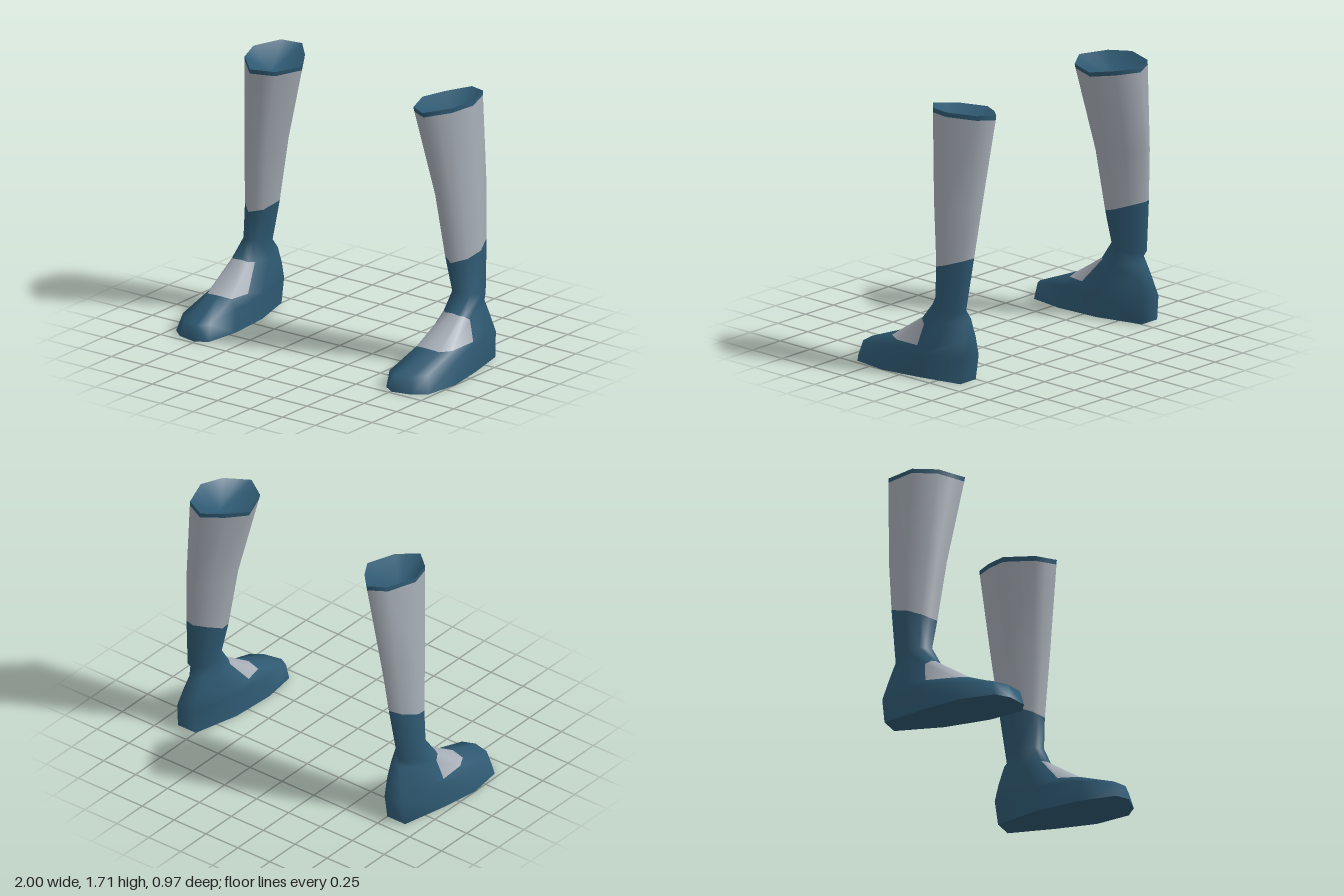
import * as THREE from 'three';

const N = 10; // points around every ring, starting at the toe and going round the outer side

const blue = new THREE.MeshStandardMaterial({ color: 0x2f5a73 });
blue.name = 'deep blue';
const grey = new THREE.MeshStandardMaterial({ color: 0xa8afb8 });
grey.name = 'light grey';

// Foot rings for the left boot, as [x, y, z]
const sole = [[.76, 0, .48], [.89, 0, .45], [.97, 0, .38], [1, 0, .15], [.955, 0, -.12],
  [.89, 0, -.405], [.75, 0, -.405], [.67, 0, -.1], [.65, 0, .2], [.68, 0, .43]];
const shoulder = [[.76, .095, .455], [.87, .1, .425], [.94, .11, .35], [.97, .13, .1], [.955, .15, -.15],
  [.88, .16, -.425], [.745, .16, -.425], [.67, .16, -.1], [.662, .14, .18], [.69, .105, .41]];
const upper = [[.8, .205, .18], [.89, .195, .165], [.93, .19, .09], [.95, .2, -.1], [.93, .21, -.25],
  [.85, .28, -.4], [.74, .27, -.395], [.675, .2, -.13], [.68, .2, .03], [.71, .195, .16]];
const instep = [[.81, .365, -.07], [.86, .36, -.07], [.89, .355, -.085], [.91, .33, -.12], [.9, .36, -.27],
  [.82, .38, -.38], [.745, .38, -.36], [.7, .36, -.22], [.725, .36, -.1], [.755, .36, -.07]];

// Leg outline in unit form: u runs inner to outer, v runs front to back
const outline = [[.53, 0], [.7, .115], [.87, .23], [1, .53], [.82, .9],
  [.5, 1], [.22, .78], [0, .52], [.18, .16], [.355, .08]];

function legRing(x0, x1, zFront, zBack, yFront, yBack, tilt = 0) {
  return outline.map(([u, v]) => [
    x0 + (x1 - x0) * u,
    yFront + (yBack - yFront) * v + tilt * (u - .5),
    zFront + (zBack - zFront) * v,
  ]);
}

const rim = legRing(.46, .842, .035, -.485, 1.667, 1.693, .05);
const rings = [
  sole, shoulder, upper, instep,
  legRing(.71, .895, -.12, -.37, .48, .43),
  legRing(.655, .885, -.1, -.41, .675, .785),
  legRing(.6, .872, -.05, -.445, 1.08, 1.12),
  legRing(.467, .843, .031, -.484, 1.638, 1.664, .05),
  rim,
];

function flip(index, side) {
  if (side > 0) return index;
  const out = [];
  for (let i = 0; i < index.length; i += 3) out.push(index[i], index[i + 2], index[i + 1]);
  return out;
}

function surface(points, index, side) {
  const geometry = new THREE.BufferGeometry();
  const flat = points.flatMap(([x, y, z]) => [x * side, y, z]);
  geometry.setAttribute('position', new THREE.Float32BufferAttribute(flat, 3));
  geometry.setIndex(flip(index, side));
  geometry.computeVertexNormals();
  return geometry;
}

// Quads of one row between two rings, for the chosen columns
function cells(row, columns) {
  return columns.flatMap((c) => {
    const a = row * N + c, b = row * N + (c + 1) % N;
    return [a, b, b + N, a, b + N, a + N];
  });
}

// Fan from a ring to a centre point
function fan(ring, centre, up, side) {
  const index = [];
  for (let i = 0; i < N; i++) {
    const j = (i + 1) % N;
    index.push(...(up ? [i, j, N] : [j, i, N]));
  }
  return surface([...ring, centre], index, side);
}

function makeBoot(side) {
  const boot = new THREE.Group();
  boot.name = side > 0 ? 'leftBoot' : 'rightBoot';
  const add = (name, geometry, material) => {
    const mesh = new THREE.Mesh(geometry, material);
    mesh.name = name;
    boot.add(mesh);
  };

  const all = [...Array(N).keys()];
  const patch = [8, 9, 0, 1, 2];
  const rest = all.filter((c) => !patch.includes(c));
  const rows = (...list) => list.flatMap((r) => cells(r, all));

  // One smooth skin, cut into parts that share its normals
  const skin = surface(rings.flat(), rows(0, 1, 2, 3, 4, 5, 6, 7), side);
  const part = (name, index, material) => {
    const geometry = new THREE.BufferGeometry();
    geometry.setAttribute('position', skin.getAttribute('position'));
    geometry.setAttribute('normal', skin.getAttribute('normal'));
    geometry.setIndex(flip(index, side));
    add(name, geometry, material);
  };
  part('foot', [...rows(0, 1), ...cells(2, rest)], blue);
  part('instepPatch', cells(2, patch), grey);
  part('ankle', rows(3, 4), blue);
  part('shin', rows(5, 6), grey);
  part('cuff', rows(7), blue);

  // Flat sole and the sunken opening
  add('sole', fan(sole, [.81, 0, .03], false, side), blue);
  add('opening', fan(rim, [.7, 1.56, -.23], true, side), blue);
  return boot;
}

export function createModel() {
  const model = new THREE.Group();
  model.name = 'pairOfBoots';
  model.add(makeBoot(1), makeBoot(-1));
  return model;
}
